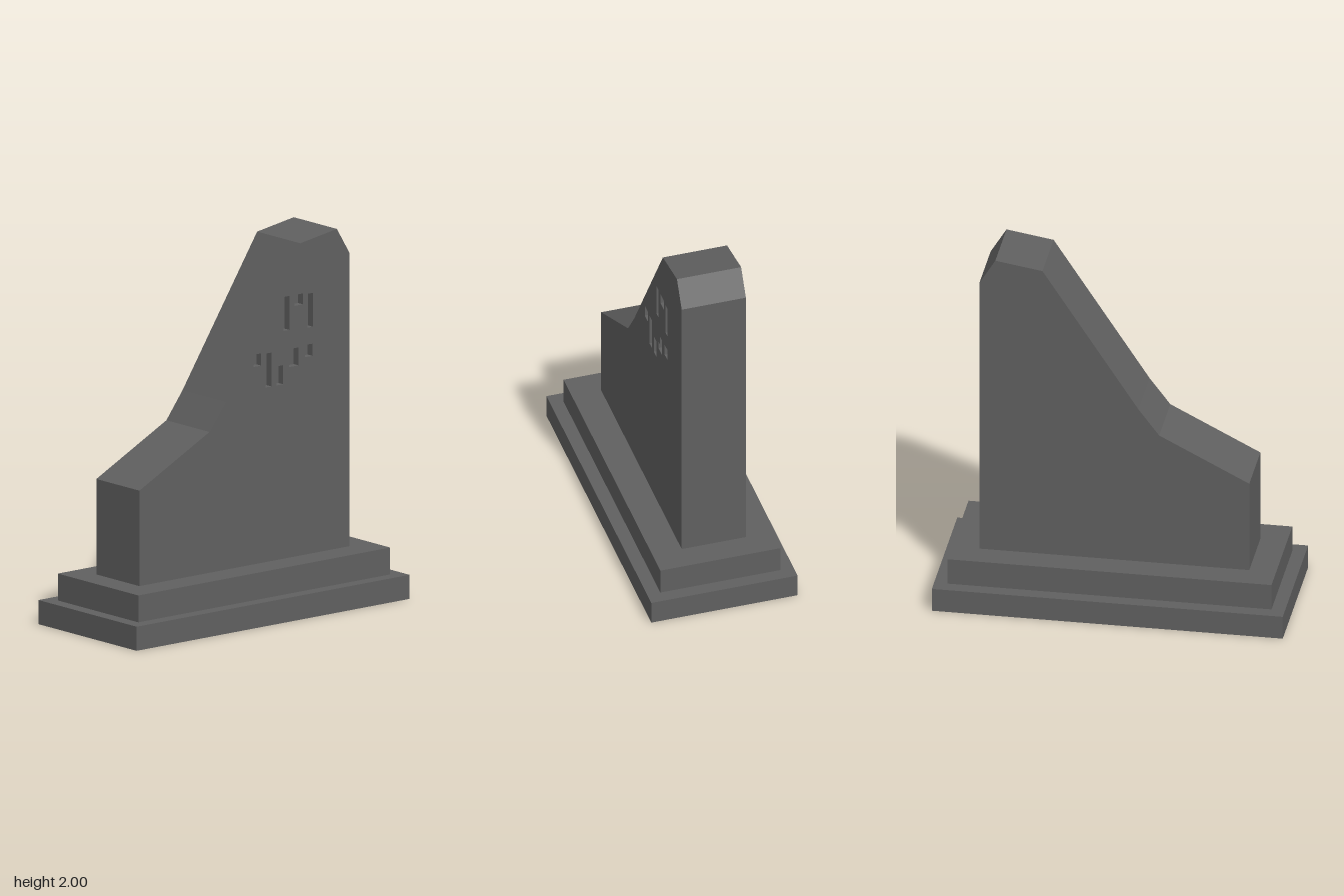
import * as THREE from 'three';

const material = new THREE.MeshStandardMaterial({ color: 0x606060, flatShading: true });

const BACK = -0.185, FRONT = 0.168, RECESS = 0.04;

const toPoints = (pairs) => pairs.map(([x, y]) => new THREE.Vector2(x, y));

// Outline of the upright slab, anticlockwise from its lower left
const outline = [
  [-0.72, 0.275], [0.718, 0.275], [0.718, 1.86], [0.633, 2.0],
  [0.382, 1.96], [-0.13, 1.18], [-0.24, 1.035], [-0.72, 0.79],
];

// Recessed slots: left, right, bottom, top
const slots = [
  [0.267, 0.307, 1.504, 1.687], [0.341, 0.4, 1.628, 1.687], [0.431, 0.468, 1.497, 1.68],
  [0.061, 0.114, 1.34, 1.406], [0.145, 0.185, 1.217, 1.4], [0.22, 0.265, 1.217, 1.32],
  [0.415, 0.466, 1.34, 1.406],
].map(([l, r, b, t]) => [[l, b], [l, t], [r, t], [r, b]]);

// The one stepped recess
slots.push([[0.304, 1.303], [0.304, 1.345], [0.333, 1.345], [0.333, 1.4], [0.37, 1.4], [0.37, 1.303]]);

function slab(name, z0, z1, holes = []) {
  const shape = new THREE.Shape(toPoints(outline));
  shape.holes = holes.map((h) => new THREE.Path(toPoints(h)));
  const geometry = new THREE.ExtrudeGeometry(shape, { depth: z1 - z0, bevelEnabled: false });
  geometry.translate(0, 0, z0);
  const mesh = new THREE.Mesh(geometry, material);
  mesh.name = name;
  return mesh;
}

function step(name, width, depth, y0, y1) {
  const mesh = new THREE.Mesh(new THREE.BoxGeometry(width, y1 - y0, depth), material);
  mesh.position.y = (y0 + y1) / 2;
  mesh.name = name;
  return mesh;
}

export function createModel() {
  const model = new THREE.Group();
  model.name = 'monument';

  // Two-step plinth
  model.add(
    step('lowerStep', 1.87, 0.804, 0, 0.13),
    step('upperStep', 1.726, 0.66, 0.13, 0.275),
  );

  // Upright slab: solid body behind a thin pierced front layer
  const stone = new THREE.Group();
  stone.name = 'uprightStone';
  stone.add(
    slab('stoneBody', BACK, FRONT - RECESS),
    slab('recessedFace', FRONT - RECESS, FRONT, slots),
  );
  model.add(stone);
  return model;
}
